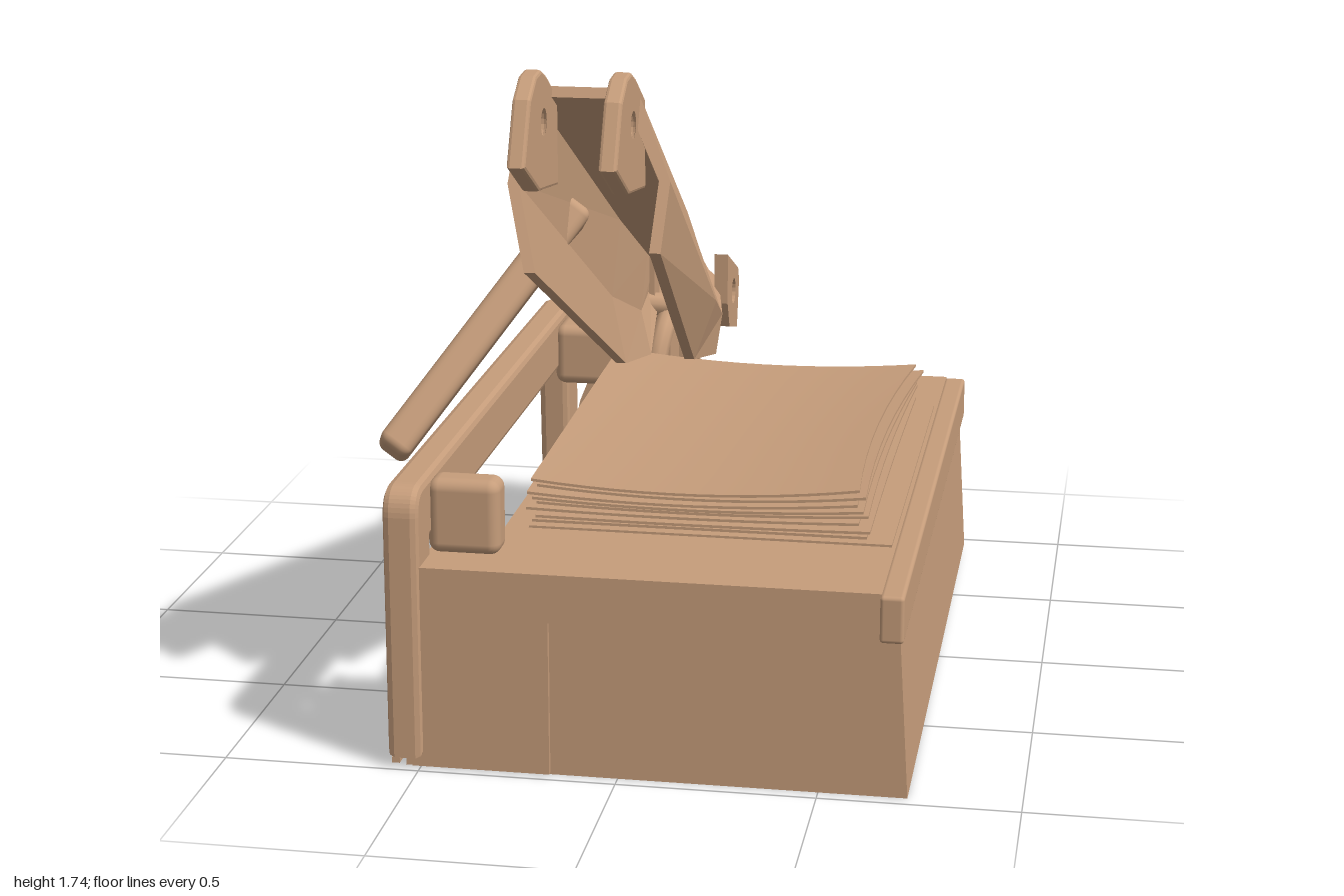
import * as THREE from 'three';
import { RoundedBoxGeometry } from 'three/addons/geometries/RoundedBoxGeometry.js';
import { ConvexGeometry } from 'three/addons/geometries/ConvexGeometry.js';

const clay = new THREE.MeshStandardMaterial({ color: 0xc69d7b, side: THREE.DoubleSide });
clay.name = 'clay tan';

export function createModel() {
  const root = new THREE.Group();
  root.name = 'paperCutter';
  const add = (name, geometry) => {
    const mesh = new THREE.Mesh(geometry, clay);
    mesh.name = name;
    root.add(mesh);
    return mesh;
  };
  // Box given by its limits, optionally rounded
  const box = (name, x0, x1, y0, y1, z0, z1, r = 0) => {
    const s = [x1 - x0, y1 - y0, z1 - z0];
    const m = add(name, r ? new RoundedBoxGeometry(...s, 3, r) : new THREE.BoxGeometry(...s));
    m.position.set((x0 + x1) / 2, (y0 + y1) / 2, (z0 + z1) / 2);
    return m;
  };
  // Side profile in (z, y) extruded across x
  const slabX = (name, shape, x0, x1, bevel = 0) => {
    const g = new THREE.ExtrudeGeometry(shape, {
      depth: x1 - x0 - 2 * bevel, bevelEnabled: bevel > 0, bevelSize: bevel,
      bevelOffset: -bevel, bevelThickness: bevel, bevelSegments: 2, curveSegments: 10,
    });
    g.rotateY(-Math.PI / 2).translate(x1 - bevel, 0, 0);
    return add(name, g);
  };
  const poly = (pts, hole) => {
    const s = new THREE.Shape(pts.map((p) => new THREE.Vector2(...p)));
    if (hole) s.holes.push(new THREE.Path().absarc(hole[0], hole[1], hole[2], 0, Math.PI * 2, true));
    return s;
  };

  // Base with slanted left wall
  const corners = [
    [0.72, 0, 0.965], [0.72, 0.02, -0.905], [-0.28, 0.02, -0.905], [-0.54, 0, 0.965],
    [0.695, 0.42, 0.965], [0.695, 0.42, -0.91], [-0.28, 0.42, -0.91], [-0.5, 0.42, 0.965],
  ];
  add('base', new ConvexGeometry(corners.map((c) => new THREE.Vector3(...c))));
  box('baseFrontPanel', -0.52, -0.17, 0.005, 0.42, 0.955, 0.98);

  // Table top with side channel
  box('table', -0.29, 0.65, 0.405, 0.53, -0.955, 0.645);
  box('tableFront', -0.5, 0.65, 0.405, 0.53, 0.64, 0.98);
  box('tableEdge', 0.645, 0.705, 0.405, 0.525, -0.965, 0.985, 0.01);
  box('channelFloor', -0.5, -0.28, 0.29, 0.31, -0.84, 0.64);
  box('channelRail', -0.36, -0.31, 0.31, 0.5, -0.66, 0.64);
  box('paperBed', -0.29, 0.64, 0.53, 0.536, -0.63, 0.635);

  // Left side frame: inverted U with rounded outer corners
  const frame = new THREE.Shape();
  frame.moveTo(0.995, 0.03);
  frame.lineTo(0.995, 0.66);
  frame.quadraticCurveTo(0.99, 0.73, 0.92, 0.73);
  frame.lineTo(-0.9, 0.73);
  frame.quadraticCurveTo(-0.975, 0.73, -0.98, 0.65);
  frame.lineTo(-0.98, 0.02);
  frame.lineTo(-0.85, 0.02);
  frame.lineTo(-0.82, 0.57);
  frame.lineTo(0.86, 0.57);
  frame.lineTo(0.86, 0.03);
  slabX('sideFrame', frame, -0.58, -0.49, 0.018);
  box('bottomStrip', -0.575, -0.555, 0.005, 0.02, -0.97, 0.97);
  box('frontBlock', -0.5, -0.315, 0.525, 0.72, 0.77, 0.865, 0.03);
  box('rearBlock', -0.5, -0.29, 0.53, 0.71, -0.83, -0.68, 0.03);

  // Hinge plate at the back
  const plate = poly([[-0.56, 0.02], [-0.13, 0.02], [-0.1, 0.72], [-0.17, 0.79], [-0.3, 0.78],
    [-0.36, 0.7], [-0.48, 0.4]], [-0.22, 0.72, 0.035]);
  add('hingePlate', new THREE.ExtrudeGeometry(plate, { depth: 0.025, bevelEnabled: false }))
    .position.z = -0.98;
  box('hingeSupport', -0.24, -0.17, 0.52, 0.78, -0.96, -0.8);

  // Curved straps around the hinge
  const tube = (name, pts, r) => add(name, new THREE.TubeGeometry(
    new THREE.CatmullRomCurve3(pts.map((p) => new THREE.Vector3(...p))), 20, r, 10));
  tube('hingeStrap', [[-0.42, 0.68, -0.72], [-0.36, 0.75, -0.73], [-0.26, 0.77, -0.76], [-0.16, 0.76, -0.8]], 0.035);
  tube('hingeHook', [[-0.19, 0.53, -0.67], [-0.19, 0.62, -0.68], [-0.18, 0.69, -0.72], [-0.17, 0.74, -0.8]], 0.032);

  // Lever arm: folded channel lofted through stations.
  // Each station is top z, then [x, depth] from left lip over the top to right lip.
  const stations = [
    [0.66, [-0.24, 0.47], [-0.30, 0.25], [-0.28, 0], [0.0, 0], [0.10, 0.23], [0.09, 0.41]],
    [-0.4, [-0.22, 0.44], [-0.275, 0.25], [-0.27, 0], [-0.05, 0], [0.05, 0.25], [0.0, 0.42]],
    [-0.75, [-0.22, 0.33], [-0.26, 0.2], [-0.255, 0], [-0.075, 0], [0.01, 0.2], [0.0, 0.32]],
    [-0.84, [-0.23, 0.17], [-0.255, 0.1], [-0.25, 0], [-0.085, 0], [-0.02, 0.1], [-0.01, 0.17]],
    [-0.975, [-0.23, 0.1], [-0.24, 0.05], [-0.24, 0], [-0.09, 0], [-0.03, 0.05], [-0.02, 0.1]],
  ];
  const wall = 0.028;
  const pos = [];
  const index = [];
  stations.forEach(([z, ...outer]) => {
    const y = 0.84 + 0.515 * (z + 0.97);
    const inner = outer.map(([x, t], i) => [x + (i < 3 ? wall : -wall), t === 0 ? wall : t]).reverse();
    [...outer, ...inner].forEach(([x, t]) => pos.push(x, y - 0.89 * t, z + 0.46 * t));
  });
  const n = 12;
  for (let i = 0; i < stations.length - 1; i++) {
    for (let j = 0; j < n; j++) {
      const a = i * n + j, b = i * n + ((j + 1) % n);
      index.push(a, a + n, b, b, a + n, b + n);
    }
  }
  for (let j = 0; j < 5; j++) { // end rims
    const e = (stations.length - 1) * n;
    index.push(j, j + 1, 11 - j, j + 1, 10 - j, 11 - j);
    index.push(e + j, e + 11 - j, e + j + 1, e + j + 1, e + 11 - j, e + 10 - j);
  }
  let arm = new THREE.BufferGeometry();
  arm.setAttribute('position', new THREE.Float32BufferAttribute(pos, 3));
  arm.setIndex(index);
  arm = arm.toNonIndexed();
  arm.computeVertexNormals();
  add('leverArm', arm);

  // Pierced lugs at both ends of the arm
  const frontLug = poly([[0.6, 1.645], [0.72, 1.715], [0.78, 1.74], [0.84, 1.735], [0.91, 1.69],
    [0.985, 1.54], [0.82, 1.45], [0.6, 1.42]], [0.765, 1.61, 0.042]);
  slabX('frontLugLeft', frontLug, -0.255, -0.21, 0.008);
  slabX('frontLugRight', frontLug, -0.035, 0.01, 0.008);
  const rearLug = poly([[-0.76, 0.93], [-0.97, 0.84], [-0.99, 0.8], [-0.95, 0.66], [-0.8, 0.7],
    [-0.76, 0.78]], [-0.88, 0.79, 0.038]);
  slabX('rearLugLeft', rearLug, -0.25, -0.21);
  slabX('rearLugRight', rearLug, -0.03, 0.01);

  // Handle bar slanting out from the arm
  const from = new THREE.Vector3(-0.26, 1.26, 0.14);
  const to = new THREE.Vector3(-0.68, 0.68, 0.53);
  const axis = to.clone().sub(from);
  const handle = add('handle', new RoundedBoxGeometry(0.09, axis.length(), 0.19, 3, 0.025));
  handle.position.copy(from).add(to).multiplyScalar(0.5);
  axis.normalize().negate();
  const across = new THREE.Vector3(0, 0, 1).addScaledVector(axis, -axis.z).normalize();
  const thick = new THREE.Vector3().crossVectors(axis, across);
  handle.quaternion.setFromRotationMatrix(new THREE.Matrix4().makeBasis(thick, axis, across));

  // Stack of curled sheets, curling more towards the top
  const count = 8;
  for (let k = 0; k < count; k++) {
    const f = k / (count - 1);
    const g = new THREE.BoxGeometry(0.86, 0.007, 1.24, 12, 1, 8);
    const p = g.attributes.position;
    for (let i = 0; i < p.count; i++) {
      const u = p.getX(i) / 0.43, v = p.getZ(i) / 0.62;
      p.setY(i, p.getY(i) + f * (0.026 * u * u + 0.006 * v * u));
      if (u > 0) p.setX(i, p.getX(i) - f * 0.03 * u * (1 - v * v + 0.6 * v));
    }
    g.computeVertexNormals();
    const sheet = add('paperSheet', g);
    sheet.position.set(0.145 + 0.015 * Math.sin(k * 2.3), 0.545 + 0.0125 * k, 0.01 * Math.sin(k * 1.7));
    sheet.rotation.y = 0.018 * Math.sin(k * 3.1);
  }
  return root;
}
